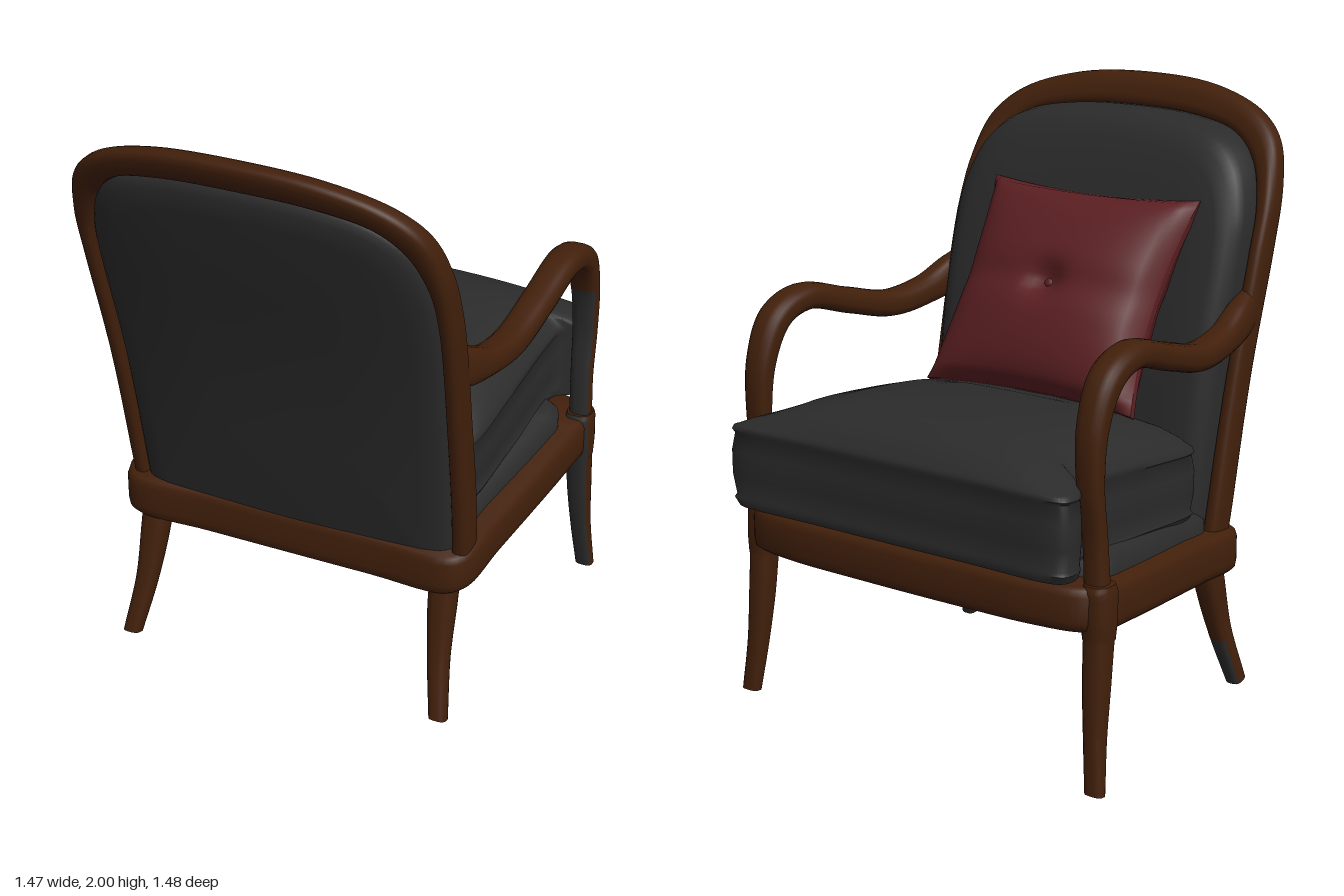
import * as THREE from 'three';
import { toCreasedNormals } from 'three/addons/utils/BufferGeometryUtils.js';

const V = (x, y, z) => new THREE.Vector3(x, y, z);

// Skin over closed rings (counter-clockwise about the travel direction), capped at both ends.
// pick(i, j) true puts that quad in material group 1.
function loft(rings, pick = () => false) {
  const n = rings[0].length, m = rings.length, pos = [], groups = [[], []];
  for (const r of rings) for (const p of r) pos.push(p.x, p.y, p.z);
  for (const r of [rings[0], rings[m - 1]]) {
    const c = r.reduce((s, p) => s.add(p), V(0, 0, 0)).divideScalar(n);
    pos.push(c.x, c.y, c.z);
  }
  for (let j = 0; j < n; j++) {
    const k = (j + 1) % n;
    for (let i = 0; i < m - 1; i++) {
      const a = i * n + j, b = i * n + k, c = b + n, d = a + n;
      groups[pick(i, j) ? 1 : 0].push(a, b, c, a, c, d);
    }
    groups[0].push(m * n, k, j, m * n + 1, (m - 1) * n + j, (m - 1) * n + k);
  }
  const g = new THREE.BufferGeometry();
  g.setAttribute('position', new THREE.Float32BufferAttribute(pos, 3));
  g.setIndex([...groups[0], ...groups[1]]);
  if (groups[1].length) {
    g.addGroup(0, groups[0].length, 0);
    g.addGroup(groups[0].length, groups[1].length, 1);
  }
  return toCreasedNormals(g, 0.9);
}

// Rounded-square section coordinates
const SIDES = 16;
const section = Array.from({ length: SIDES }, (_, j) => {
  const a = ((j + 0.5) / SIDES) * Math.PI * 2, q = (t) => Math.sign(t) * Math.abs(t) ** 0.7;
  return [q(Math.cos(a)), q(Math.sin(a))];
});

// Sweep along knots [x, y, z, half width in x, half thickness].
// From greyFrom on, faces toward facing * z go to material group 1.
function sweep(knots, steps, side, greyFrom, facing = 1) {
  const path = new THREE.CatmullRomCurve3(knots.map((k) => V(k[0] * side, k[1], k[2])));
  const size = new THREE.CatmullRomCurve3(knots.map((k) => V(k[3], k[4], 0)));
  const X = V(1, 0, 0), rings = [];
  for (let i = 0; i <= steps; i++) {
    const t = i / steps, p = path.getPoint(t), s = size.getPoint(t);
    const N = path.getTangent(t).cross(X).normalize();
    rings.push(section.map(([a, b]) => p.clone().addScaledVector(X, a * s.x).addScaledVector(N, b * s.y)));
  }
  return loft(rings, (i, j) => i / steps >= greyFrom &&
    facing * (section[j][1] + section[(j + 1) % SIDES][1]) > 1.5);
}

// Closed, mirrored plan outline from half points [x, z]
function planOutline(half, count) {
  const pts = [...half, ...half.slice().reverse().map(([x, z]) => [-x, z])];
  return new THREE.CatmullRomCurve3(pts.map(([x, z]) => V(x, 0, z)), true, 'centripetal').getPoints(count).slice(0, -1);
}

export function createModel() {
  const chair = new THREE.Group();
  chair.name = 'armchair';
  const mat = (name, color) => Object.assign(new THREE.MeshStandardMaterial({ color }), { name });
  const wood = mat('brown wood', 0x42200b);
  const grey = mat('charcoal fabric', 0x2b2b2b);
  const red = mat('dark red fabric', 0x5b1f22);
  const add = (name, geo, material, parent = chair) => {
    const mesh = new THREE.Mesh(geo, material);
    mesh.name = name;
    parent.add(mesh);
    return mesh;
  };

  // Backrest: leaning, slightly bowed arch
  const back = new THREE.Group();
  back.name = 'backrest';
  back.position.x = 0.012;
  chair.add(back);
  const lean = (y) => { const d = y - 0.585; return 0.366 + 0.16 * d + 0.08 * d * d; };
  const bow = (x) => (x / 0.62) ** 2;
  const arch = (half) => new THREE.CatmullRomCurve3(
    [...half, ...half.slice(0, -1).reverse().map(([x, y]) => [-x, y])].map(([x, y]) => V(x, y, 0)));
  const outer = arch([[0.595, 0.47], [0.61, 0.62], [0.618, 1.1], [0.627, 1.5], [0.618, 1.69],
    [0.575, 1.83], [0.48, 1.915], [0.28, 1.98], [0, 2.0]]);
  const inner = arch([[0.54, 0.47], [0.55, 0.62], [0.562, 1.1], [0.572, 1.5], [0.56, 1.63],
    [0.51, 1.76], [0.42, 1.84], [0.25, 1.88], [0, 1.892]]);

  const frameRings = [];
  for (let i = 0; i <= 96; i++) {
    const o = outer.getPoint(i / 96), n = inner.getPoint(i / 96);
    frameRings.push(section.map(([a, b]) => {
      const p = n.clone().lerp(o, (a + 1) / 2);
      const depth = 0.115 - 0.07 * Math.max(0, p.y - 1.5);
      p.z = lean(p.y) - 0.035 * bow(p.x) - depth * (b + 1) / 2;
      return p;
    }));
  }
  add('backFrame', loft(frameRings), wood, back);

  // Upholstery from the padded front through to the rear panel, thinner toward the seat
  const outline = inner.getPoints(80);
  const [first, last] = [outline[0], outline[80]];
  for (let i = 1; i < 16; i++) outline.push(last.clone().lerp(first, i / 16));
  const padRings = [[0.1, -0.235], [0.4, -0.235], [0.7, -0.235], [0.88, -0.228], [0.95, -0.214], [0.985, -0.192],
    [1.0, -0.16], [1.01, -0.1], [1.0, -0.04], [0.98, -0.025], [0.95, -0.012], [0.85, 0], [0.4, 0], [0.1, 0]]
    .map(([s, dz]) => outline.map((p) => {
      const x = p.x * s, y = 1.2 + (p.y - 1.2) * s;
      const thin = 1 - 0.3 * Math.max(0, 1.2 - y);
      return V(x, y, lean(y) - 0.025 * bow(x) + dz * thin);
    }));
  add('backPad', loft(padRings), grey, back);

  // Seat rail, rising toward the seat front
  const railHalf = [[0.3, 0.372], [0.57, 0.37], [0.62, 0.32], [0.645, 0.1], [0.7, -0.42], [0.705, -0.54],
    [0.66, -0.62], [0.5, -0.66], [0.2, -0.672]];
  const railPlan = planOutline(railHalf, 96);
  const railRings = [[0.975, 0], [0.995, 0.012], [1, 0.035], [1, 0.115], [0.99, 0.135], [0.975, 0.142]]
    .map(([s, y]) => railPlan.map((p) => V(p.x * s, 0.442 + y + (0.37 - p.z) * 0.077, p.z * s)));
  add('seatRail', loft(railRings), wood);

  // Webbing deck between the rail and the cushion
  const deckRings = [[0.9, 0.1], [0.9, 0.175], [0.86, 0.2]]
    .map(([s, y]) => railPlan.map((p) => V(p.x * s, 0.45 + y + (0.37 - p.z) * 0.07, -0.12 + (p.z + 0.12) * s * 0.85)));
  add('seatDeck', loft(deckRings), grey);

  // T-shaped seat cushion with piped seams and a domed top
  const seatPlan = planOutline([[0.25, 0.195], [0.52, 0.19], [0.555, 0.15], [0.57, -0.15], [0.575, -0.45], [0.59, -0.565],
    [0.64, -0.6], [0.665, -0.65], [0.665, -0.705], [0.635, -0.73], [0.3, -0.735]], 160);
  const seatRings = [[0.3, 0, 0], [0.93, 0, 0], [0.975, 0, 0], [0.995, 0.1, 0], [0.985, 0.14, 0], [1, 0.4, 0],
    [1, 0.7, 0], [0.985, 0.92, 0], [0.998, 0.96, 0], [0.99, 1, 0.1], [0.975, 1, 0.25], [0.93, 1, 0.65],
    [0.84, 1, 0.92], [0.65, 1, 1], [0.4, 1, 1], [0.1, 1, 1]]
    .map(([s, k, rise]) => seatPlan.map((p) => {
      const limit = s < 0.9 ? 0.58 : 1;
      const x = THREE.MathUtils.clamp(p.x, -limit, limit) * s, z = -0.27 + (p.z + 0.27) * s;
      const low = 0.645 + (0.19 - z) * 0.06, seam = 0.885 + (0.19 - z) * 0.09;
      const dome = 0.143 * (1 - Math.abs(x / 0.72) ** 3) * (1 - Math.abs((z + 0.27) / 0.54) ** 3);
      return V(x, low + (seam - low) * k + dome * rise, z);
    }));
  add('seatCushion', loft(seatRings), grey);

  // Arms, legs: one set per side
  const arm = [[0.585, 1.32, 0.43, 0.03, 0.06], [0.594, 1.285, 0.35, 0.042, 0.064], [0.61, 1.245, 0.22, 0.048, 0.048],
    [0.625, 1.23, 0.05, 0.052, 0.045], [0.638, 1.275, -0.15, 0.054, 0.044], [0.65, 1.325, -0.36, 0.055, 0.043],
    [0.655, 1.28, -0.49, 0.054, 0.044], [0.657, 1.15, -0.56, 0.048, 0.04], [0.66, 0.98, -0.575, 0.042, 0.033],
    [0.665, 0.8, -0.555, 0.038, 0.03], [0.672, 0.62, -0.55, 0.038, 0.035]];
  const block = [[0.675, 0.665, -0.552, 0.043, 0.046], [0.675, 0.64, -0.552, 0.048, 0.055],
    [0.676, 0.56, -0.555, 0.049, 0.054], [0.677, 0.49, -0.558, 0.045, 0.048]];
  const frontLeg = [[0.677, 0.5, -0.558, 0.043, 0.045], [0.68, 0.35, -0.572, 0.04, 0.041],
    [0.688, 0.18, -0.59, 0.034, 0.032], [0.704, 0.008, -0.612, 0.032, 0.023]];
  const backLeg = [[0.525, 0.52, 0.29, 0.046, 0.055], [0.528, 0.38, 0.325, 0.045, 0.05],
    [0.54, 0.2, 0.375, 0.036, 0.038], [0.57, 0.004, 0.44, 0.03, 0.031]];
  for (const side of [1, -1]) {
    const tag = side > 0 ? 'left' : 'right';
    add(tag + 'Arm', sweep(arm, 80, side, 0.69), [wood, grey]).position.x = 0.006;
    add(tag + 'LegBlock', sweep(block, 12, side, 0), [wood, grey]);
    add(tag + 'FrontLeg', sweep(frontLeg, 24, side, 0), [wood, grey]);
    // Only the left back leg has a grey inner face along its whole length
    add(tag + 'BackLeg', sweep(backLeg, 24, side, side > 0 ? 0 : 0.7, -1), [wood, grey], back);
  }

  // Throw pillow: pinched edges, pointed corners, tufted centre
  const pillow = new THREE.Group();
  pillow.name = 'throwPillow';
  pillow.position.set(0, 1.325, 0.195);
  pillow.rotation.x = 0.55;
  chair.add(pillow);
  const pg = new THREE.BoxGeometry(2, 2, 2, 32, 32, 1), pp = pg.attributes.position;
  for (let i = 0; i < pp.count; i++) {
    const u = pp.getX(i), v = pp.getY(i), s = Math.sign(pp.getZ(i));
    const puff = ((1 - u * u) * (1 - v * v)) ** 0.42;
    const dimple = 0.045 * Math.exp(-(u * u + v * v) / 0.03) + 0.014 * Math.exp(-v * v / 0.025);
    pp.setXYZ(i, 0.415 * u * (1 - 0.11 * (1 - v * v)), 0.375 * v * (1 - 0.07 * (1 - u * u)),
      s * (0.012 + (0.135 - dimple) * puff));
  }
  pg.computeVertexNormals();
  add('pillowBody', pg, red, pillow);
  const button = new THREE.SphereGeometry(0.016, 16, 10);
  button.scale(1, 1, 0.6);
  for (const s of [1, -1]) add('pillowButton', button, red, pillow).position.z = s * 0.09;

  return chair;
}
